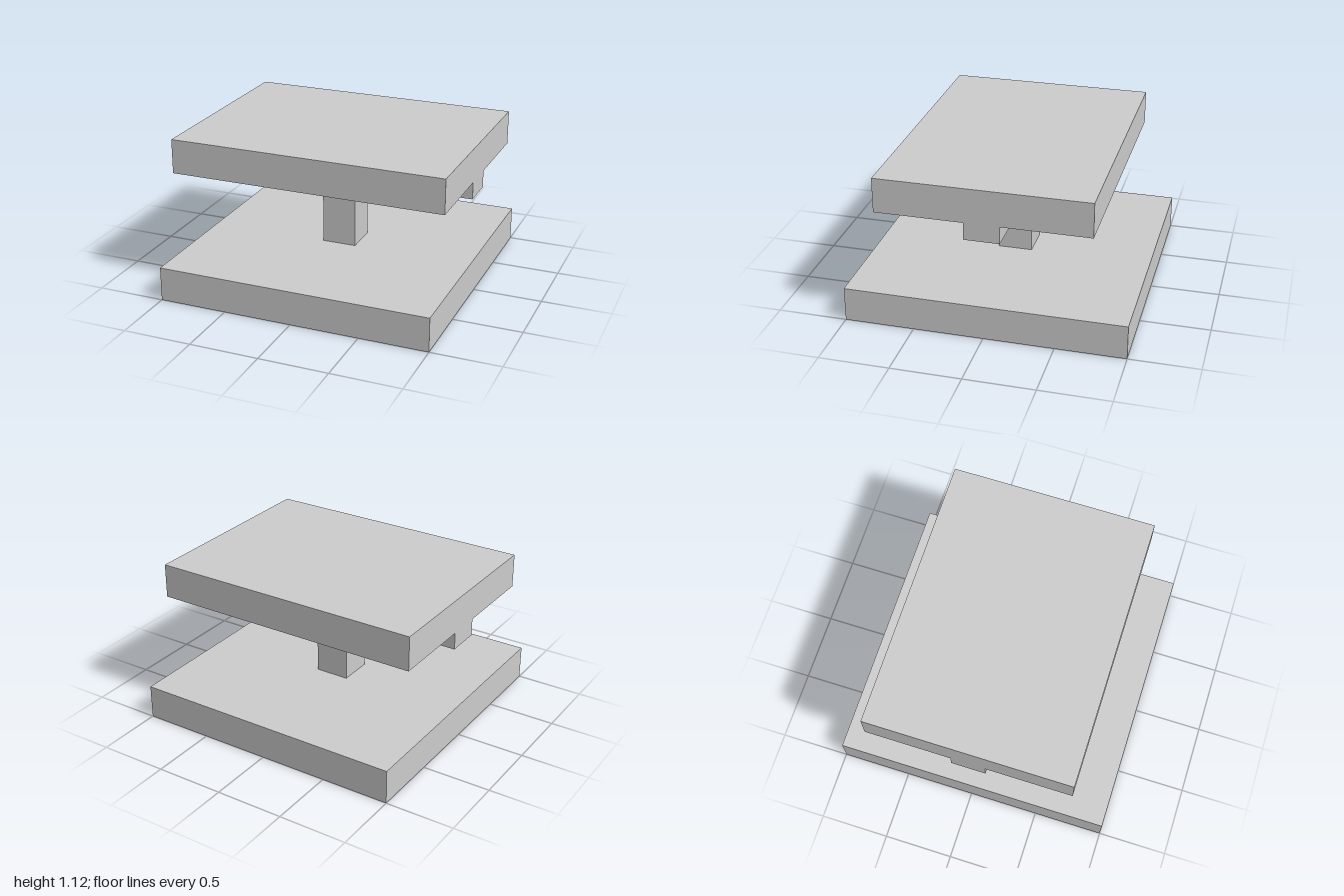
import * as THREE from 'three';

export function createModel() {
  const group = new THREE.Group();
  const material = new THREE.MeshStandardMaterial({ color: 0xcccccc, flatShading: true });

  // Centred block resting at height "bottom"
  function addBlock(name, width, height, depth, bottom) {
    const mesh = new THREE.Mesh(new THREE.BoxGeometry(width, height, depth), material);
    mesh.name = name;
    mesh.position.y = bottom + height / 2;
    group.add(mesh);
  }

  addBlock('base', 2, 0.25, 2, 0);
  addBlock('post', 0.25, 0.5, 0.25, 0.25);
  // Beam running the full width under the top
  addBlock('beam', 2, 0.125, 0.25, 0.75);
  addBlock('top', 2, 0.25, 1.5, 0.875);

  return group;
}
